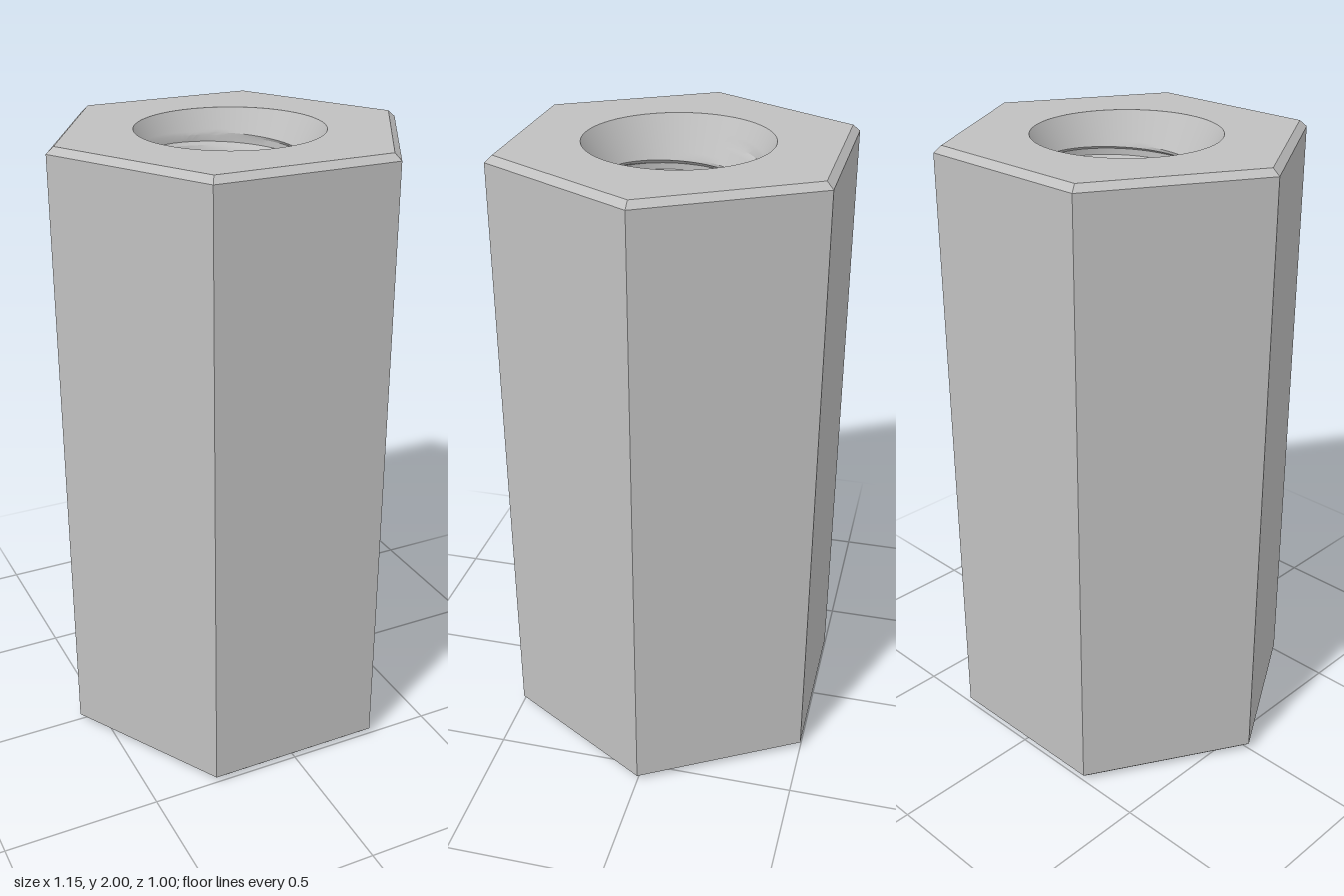
import * as THREE from 'three';
import { toCreasedNormals } from 'three/addons/utils/BufferGeometryUtils.js';

const HEIGHT = 2, HEX_R = 0.577, CAP_R = 0.553, CHAMFER = 0.02;
const RIM_R = 0.29, CREST_R = 0.203, ROOT_R = 0.25;
const PITCH = 0.107, ROOT_HALF = 0.01, FLANK = 0.027, SEGMENTS = 72;

// Hexagonal sides with a small chamfer at both ends
function hexSides() {
  const profile = [
    [CAP_R, 0], [HEX_R, CHAMFER], [HEX_R, HEIGHT - CHAMFER], [CAP_R, HEIGHT],
  ].map(([r, y]) => new THREE.Vector2(r, y));
  const geo = new THREE.LatheGeometry(profile, 6, Math.PI / 2).toNonIndexed();
  geo.computeVertexNormals();
  return geo;
}

// Flat hexagonal end with a round hole
function endFace() {
  const ring = (r, n) => Array.from({ length: n }, (_, i) => {
    const a = (i / n) * Math.PI * 2;
    return new THREE.Vector2(r * Math.cos(a), r * Math.sin(a));
  });
  const shape = new THREE.Shape(ring(CAP_R, 6));
  shape.holes.push(new THREE.Path(ring(RIM_R, SEGMENTS)));
  return new THREE.ShapeGeometry(shape);
}

// Right-hand threaded hole, countersunk at both ends; rows follow the helix
function threadedBore() {
  const radius = (y, t) => {
    const groove = THREE.MathUtils.clamp((Math.abs(t) - ROOT_HALF) / FLANK, 0, 1);
    const thread = ROOT_R + (CREST_R - ROOT_R) * groove;
    const cone = RIM_R - 0.54 * Math.min(y, HEIGHT - y);
    return Math.max(thread, cone);
  };
  const steps = [];
  for (let s = 0; s <= 3; s++) steps.push(-ROOT_HALF - FLANK * (1 - s / 3));
  for (let s = 0; s <= 3; s++) steps.push(ROOT_HALF + FLANK * (s / 3));
  steps.push(PITCH / 2);

  const rows = [];
  for (let k = -18; k <= 3; k++) {
    for (const t of steps) {
      const row = [];
      for (let j = 0; j <= SEGMENTS; j++) {
        const a = ((j % SEGMENTS) / SEGMENTS) * Math.PI * 2;
        const y = THREE.MathUtils.clamp(1.915 + PITCH * (k - j / SEGMENTS) + t, 0, HEIGHT);
        const r = radius(y, t);
        row.push(new THREE.Vector3(r * Math.sin(a), y, -r * Math.cos(a)));
      }
      rows.push(row);
    }
  }

  const positions = [];
  const triangle = new THREE.Triangle();
  const add = (a, b, c) => {
    triangle.set(a, b, c);
    const outside = [0, HEIGHT].some((e) => a.y === e && b.y === e && c.y === e);
    if (outside || triangle.getArea() < 1e-9) return;
    for (const p of [a, b, c]) positions.push(p.x, p.y, p.z);
  };
  for (let i = 0; i < rows.length - 1; i++) {
    for (let j = 0; j < SEGMENTS; j++) {
      const a = rows[i][j], b = rows[i][j + 1];
      const c = rows[i + 1][j + 1], d = rows[i + 1][j];
      add(a, b, c);
      add(a, c, d);
    }
  }
  const geo = new THREE.BufferGeometry();
  geo.setAttribute('position', new THREE.Float32BufferAttribute(positions, 3));
  return toCreasedNormals(geo, Math.PI / 7);
}

export function createModel() {
  const steel = new THREE.MeshStandardMaterial({ color: 0xc0c0c0 });
  steel.name = 'steel grey';
  const group = new THREE.Group();
  group.name = 'hexStandoff';
  const add = (name, geo) => {
    const mesh = new THREE.Mesh(geo, steel);
    mesh.name = name;
    group.add(mesh);
  };
  add('hexBody', hexSides());
  add('topFace', endFace().rotateX(-Math.PI / 2).translate(0, HEIGHT, 0));
  add('bottomFace', endFace().rotateX(Math.PI / 2));
  add('threadedBore', threadedBore());
  return group;
}
